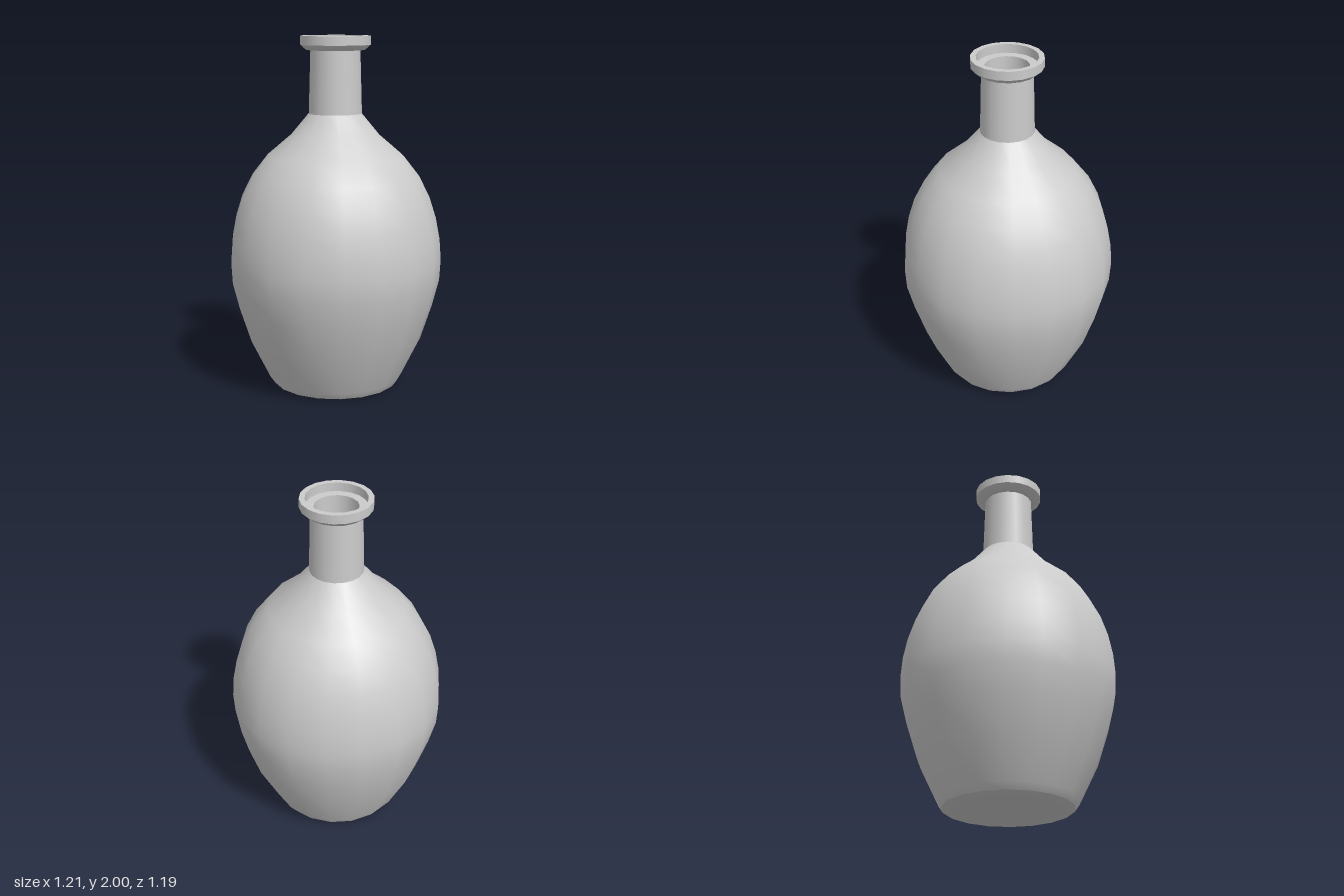
import * as THREE from 'three';

const SIDES = 18;

export function createModel() {
  const group = new THREE.Group();
  const material = new THREE.MeshStandardMaterial({ color: 0xcccccc });

  // Each [radius, height] profile is turned smoothly; separate profiles meet in a sharp edge.
  function turn(name, ...profiles) {
    const part = new THREE.Group();
    part.name = name;
    for (const profile of profiles) {
      const points = profile.map(([r, y]) => new THREE.Vector2(r, y));
      part.add(new THREE.Mesh(new THREE.LatheGeometry(points, SIDES, Math.PI / 2), material));
    }
    group.add(part);
  }

  // Shallow foot under the bottle
  turn('base', [[0, 0], [0.31, 0]], [[0.31, 0], [0.36, 0.012]]);

  // Egg-shaped belly sweeping up to the shoulder
  const belly = [
    [0.36, 0.012], [0.387, 0.05], [0.495, 0.27], [0.56, 0.47], [0.598, 0.62], [0.605, 0.74],
    [0.596, 0.86], [0.573, 0.98], [0.535, 1.1], [0.475, 1.22], [0.385, 1.335], [0.25, 1.45], [0.15, 1.57],
  ];
  turn('body', belly);

  // Slightly tapered neck
  turn('neck', [[0.15, 1.57], [0.14, 1.92]]);

  // Flared lip with a recessed seat for the stopper
  turn('lip',
    [[0.14, 1.92], [0.165, 1.922], [0.197, 1.95]],
    [[0.197, 1.95], [0.197, 2]],
    [[0.197, 2], [0.167, 2]],
    [[0.167, 2], [0.167, 1.95]],
    [[0.167, 1.95], [0.12, 1.95]]);

  // Hollow inside: bore, inner wall and floor
  const innerWall = belly.slice(1).reverse().map(([r, y]) => [r - 0.03, y]);
  turn('interior',
    [[0.12, 1.95], [0.12, 1.57]],
    innerWall,
    [[0.357, 0.05], [0, 0.05]]);

  return group;
}
